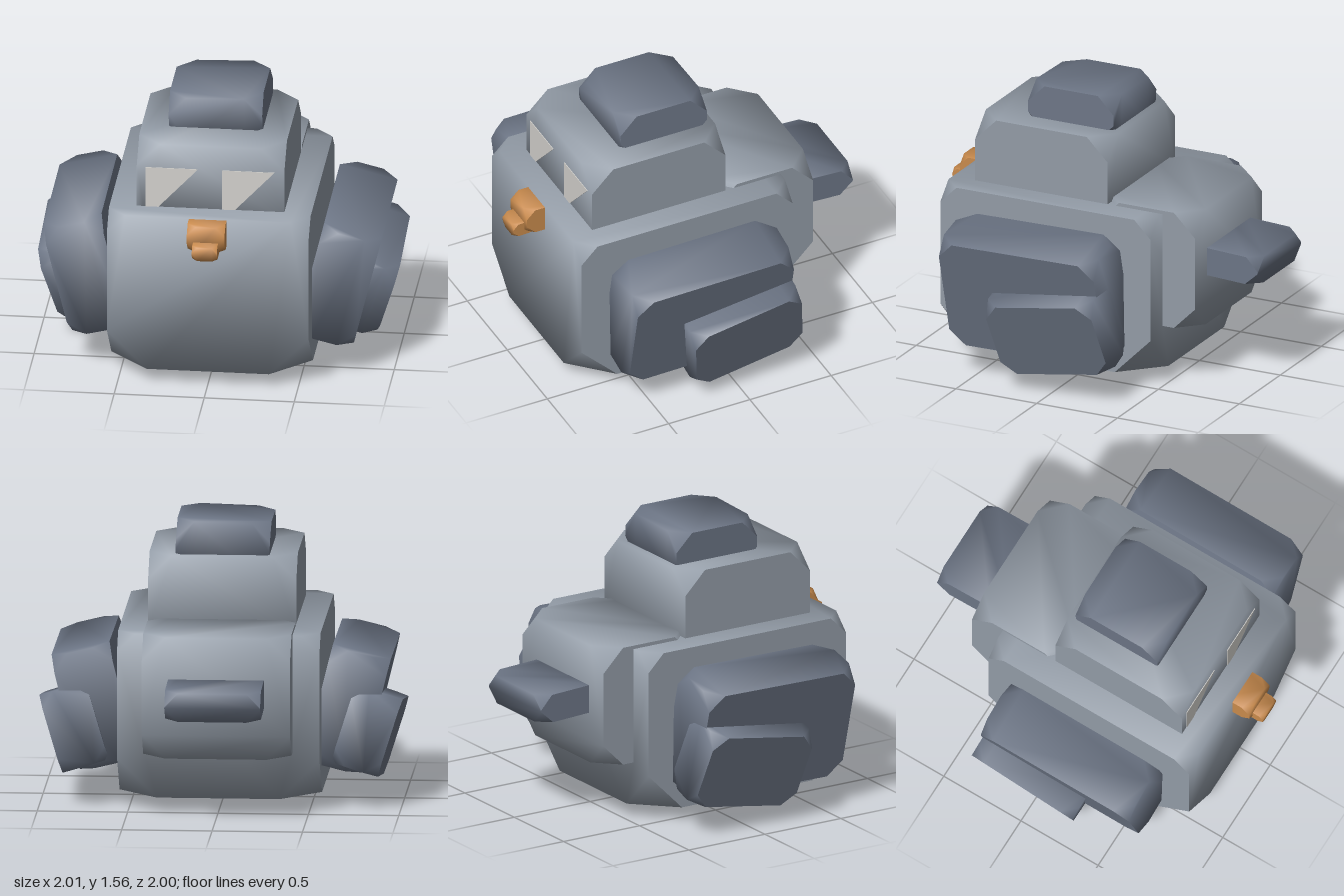
import * as THREE from 'three';
import { ConvexGeometry } from 'three/addons/geometries/ConvexGeometry.js';

// Box with its eight corners cut off; flat on its x sides, smooth round the other faces.
function cutBox(w, h, d, cutTop, cutBottom = cutTop) {
  const points = [];
  for (const sx of [-1, 1]) for (const sy of [-1, 1]) for (const sz of [-1, 1]) {
    const c = sy > 0 ? cutTop : cutBottom;
    const x = sx * w / 2, y = sy * h / 2, z = sz * d / 2;
    points.push(
      new THREE.Vector3(x - sx * c, y, z),
      new THREE.Vector3(x, y - sy * c, z),
      new THREE.Vector3(x, y, z - sz * c));
  }
  const geometry = new ConvexGeometry(points);
  const pos = geometry.attributes.position, nor = geometry.attributes.normal;
  const isSide = (n) => Math.abs(n.x) > 0.99;
  const key = (i) => [pos.getX(i), pos.getY(i), pos.getZ(i)].map((v) => v.toFixed(4)).join();
  // Gather the different face directions that meet at each corner
  const meeting = new Map();
  for (let i = 0; i < pos.count; i++) {
    const n = new THREE.Vector3().fromBufferAttribute(nor, i);
    if (isSide(n)) continue;
    const list = meeting.get(key(i)) ?? [];
    if (!list.some((m) => m.dot(n) > 0.99)) list.push(n);
    meeting.set(key(i), list);
  }
  for (let i = 0; i < pos.count; i++) {
    const n = new THREE.Vector3().fromBufferAttribute(nor, i);
    if (isSide(n)) continue;
    const sum = new THREE.Vector3();
    meeting.get(key(i)).forEach((m) => sum.add(m));
    sum.normalize();
    nor.setXYZ(i, sum.x, sum.y, sum.z);
  }
  return geometry;
}

export function createModel() {
  const model = new THREE.Group();
  const material = (name, color) => {
    const m = new THREE.MeshStandardMaterial({ color });
    m.name = name;
    return m;
  };
  const grey = material('light grey plumage', 0x929ba6);
  const slate = material('dark slate plumage', 0x6c7585);
  const orange = material('orange beak', 0xc88a4c);
  const tan = material('tan feet', 0xb38d66);
  const white = material('off white eyes', 0xd4d2ce);

  const add = (name, geometry, mat, [x, y, z], [rx, ry, rz] = [0, 0, 0]) => {
    const mesh = new THREE.Mesh(geometry, mat);
    mesh.name = name;
    mesh.position.set(x, y, z);
    mesh.rotation.set(rx, ry, rz);
    model.add(mesh);
    return mesh;
  };

  // Body, rump and tail
  add('body', cutBox(1.12, 0.92, 1.30, 0.1, 0.22), grey, [0, 0.54, 0.17]);
  add('rump', cutBox(0.82, 0.68, 0.60, 0.13), grey, [0, 0.68, -0.38]);
  add('tail', cutBox(0.53, 0.16, 0.42, 0.075), slate, [0, 0.70, -0.785], [-0.05, 0, 0]);

  // Head and cap
  add('head', cutBox(0.82, 0.47, 0.82, 0.13, 0.05), grey, [0, 1.14, 0.27]);
  add('cap', cutBox(0.52, 0.26, 0.53, 0.1), slate, [0, 1.425, 0.165], [0, 0, 0.03]);

  // Beak
  add('upperBeak', cutBox(0.21, 0.15, 0.22, 0.05), orange, [0, 0.92, 0.82]);
  add('beakTip', cutBox(0.14, 0.08, 0.18, 0.03), orange, [0, 0.865, 0.905], [0.06, 0, 0]);

  // Slanted eye patches
  const eyeShape = new THREE.Shape([[0, 0], [0.07, 0], [0.29, 0.235], [0, 0.235]]
    .map(([x, y]) => new THREE.Vector2(x, y)));
  const eye = new THREE.ExtrudeGeometry(eyeShape, { depth: 0.008, bevelEnabled: false });
  add('rightEye', eye, white, [-0.36, 1.0, 0.676]);
  add('leftEye', eye, white, [0.065, 1.0, 0.676]);

  // Wings and feet, mirrored
  for (const [side, s] of [['left', 1], ['right', -1]]) {
    add(side + 'Wing', cutBox(0.33, 0.66, 0.96, 0.09), slate,
      [s * 0.70, 0.54, 0.165], [0.015, 0, -s * 0.24]);
    add(side + 'WingTip', cutBox(0.27, 0.45, 0.66, 0.08), slate,
      [s * 0.81, 0.39, -0.02], [0.16, 0, -s * 0.3]);
    add(side + 'Foot', cutBox(0.21, 0.14, 0.22, 0.06), tan, [s * 0.27, 0.07, 0.27]);
  }
  return model;
}
